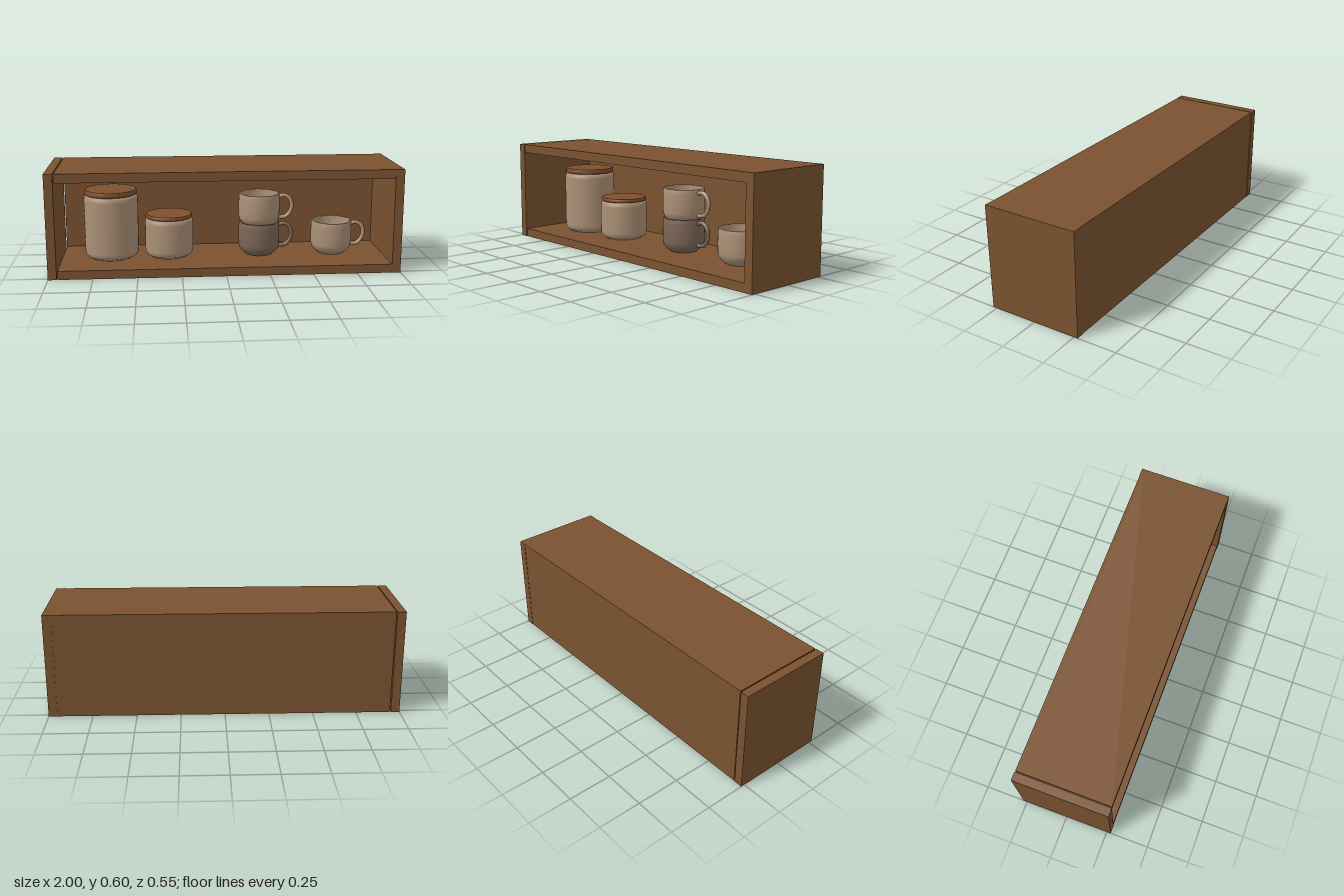
import * as THREE from 'three';

function material(name, color) {
  const m = new THREE.MeshStandardMaterial({ color });
  m.name = name;
  return m;
}

export function createModel() {
  const wood = material('wood', 0x7a5230);
  const lidWood = material('lidWood', 0x7f502d);
  const cream = material('creamCeramic', 0xac9176);
  const taupe = material('taupeCeramic', 0x7c6757);
  const model = new THREE.Group();
  const rowZ = -0.025;
  const floorY = 0.05;

  function add(parent, name, geometry, mat, x = 0, y = 0, z = 0) {
    const mesh = new THREE.Mesh(geometry, mat);
    mesh.name = name;
    mesh.position.set(x, y, z);
    parent.add(mesh);
    return mesh;
  }

  // Box given by its limits on each axis
  function board(name, x0, x1, y0, y1, z0, z1) {
    add(model, name, new THREE.BoxGeometry(x1 - x0, y1 - y0, z1 - z0), wood,
      (x0 + x1) / 2, (y0 + y1) / 2, (z0 + z1) / 2);
  }

  function lathe(points) {
    return new THREE.LatheGeometry(points.map(([r, y]) => new THREE.Vector2(r, y)), 40);
  }

  // Cabinet: open at the front, with a hairline joint beside the right-hand end panel
  board('leftEndPanel', 0.95, 1, 0, 0.6, -0.272, 0.274);
  board('rightEndPanel', -1, -0.951, 0, 0.6, -0.272, 0.274);
  board('bottomBoard', -0.945, 0.95, 0, floorY, -0.25, 0.272);
  board('topBoard', -0.945, 0.95, 0.548, 0.6, -0.25, 0.272);
  board('backPanel', -0.945, 0.95, 0, 0.6, -0.27, -0.25);

  // Storage jar: rounded body on a narrower foot, with a flat wooden lid
  function jar(name, x, r, bodyHeight, lidHeight, lidRadius) {
    const group = new THREE.Group();
    group.name = name;
    group.position.set(x, floorY, rowZ);
    add(group, 'jarBody', lathe([
      [0, 0], [r - 0.03, 0], [r - 0.025, 0.008], [r - 0.012, 0.014], [r - 0.003, 0.025], [r, 0.045],
      [r, bodyHeight - 0.03], [r - 0.003, bodyHeight - 0.012], [r - 0.012, bodyHeight], [0, bodyHeight],
    ]), cream);
    const b = 0.005;
    add(group, 'jarLid', lathe([
      [0, 0], [lidRadius - b, 0], [lidRadius, b], [lidRadius, lidHeight - b],
      [lidRadius - b, lidHeight], [lidRadius - b, lidHeight], [0, lidHeight],
    ]), lidWood, 0, bodyHeight, 0);
    model.add(group);
  }
  jar('tallJar', -0.655, 0.157, 0.375, 0.03, 0.151);
  jar('shortJar', -0.318, 0.141, 0.232, 0.022, 0.137);

  // Hollow mug with a rounded base and a looped handle on its left
  const cupGeometry = lathe([
    [0, 0], [0.075, 0], [0.083, 0.006], [0.1, 0.02], [0.114, 0.038], [0.12, 0.06],
    [0.121, 0.12], [0.12, 0.17], [0.118, 0.192], [0.114, 0.197], [0.109, 0.192],
    [0.109, 0.07], [0.1, 0.04], [0.075, 0.02], [0, 0.016],
  ]);
  const handleCurve = new THREE.CatmullRomCurve3([
    [0.114, 0.172], [0.145, 0.18], [0.178, 0.165], [0.194, 0.128],
    [0.187, 0.085], [0.16, 0.053], [0.114, 0.046],
  ].map(([x, y]) => new THREE.Vector3(x, y, 0)));
  const handleGeometry = new THREE.TubeGeometry(handleCurve, 32, 0.012, 10);

  function mug(name, x, y, mat) {
    const group = new THREE.Group();
    group.name = name;
    group.position.set(x, y, rowZ);
    add(group, 'mugCup', cupGeometry, mat);
    add(group, 'mugHandle', handleGeometry, mat);
    model.add(group);
  }
  mug('lowerStackedMug', 0.215, floorY, taupe);
  mug('upperStackedMug', 0.215, 0.221, cream);
  mug('singleMug', 0.65, floorY, cream);

  return model;
}
